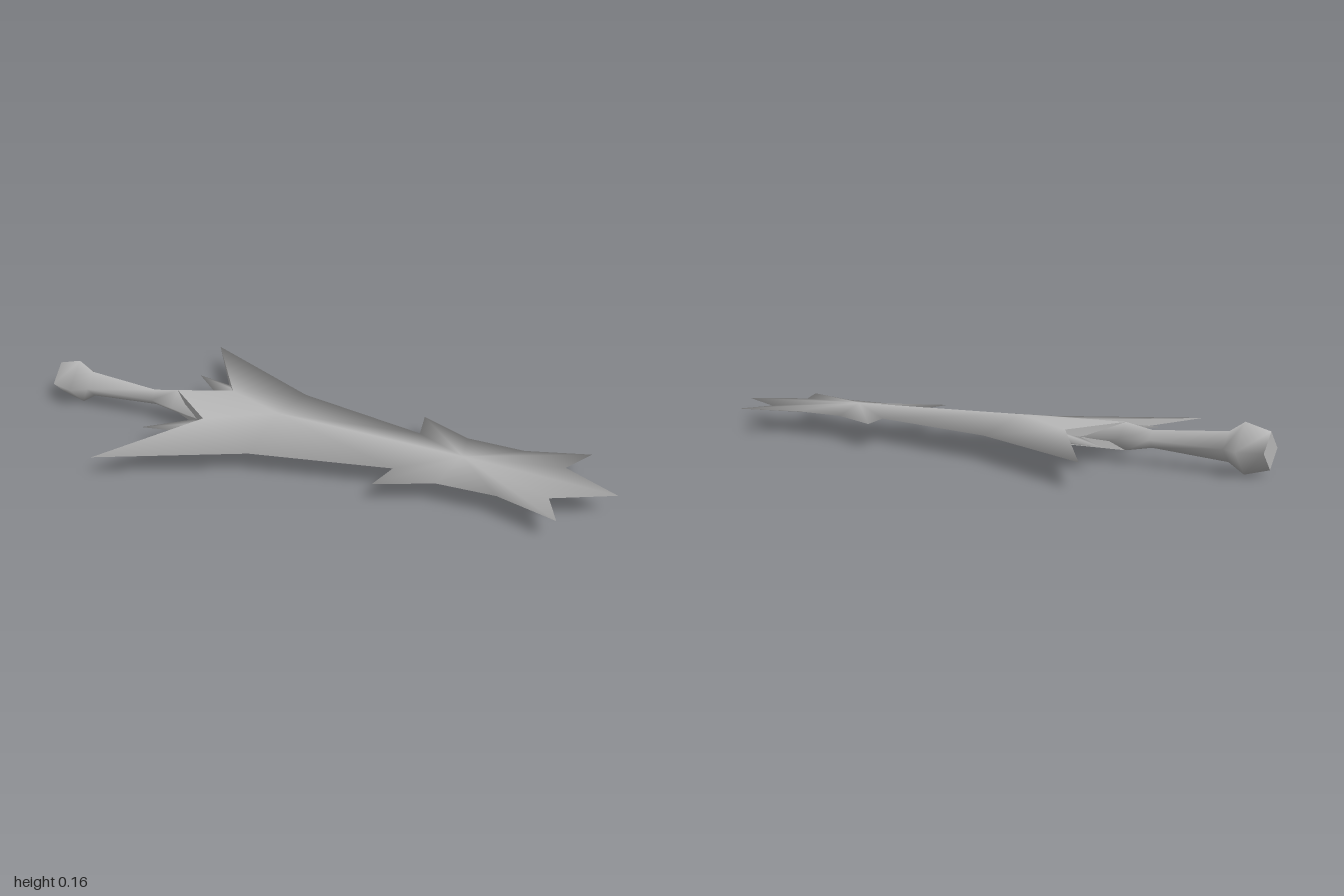
import * as THREE from 'three';
import { mergeVertices } from 'three/addons/utils/BufferGeometryUtils.js';

const steel = new THREE.MeshStandardMaterial({ color: 0xb8b8b8, side: THREE.DoubleSide });
steel.name = 'grey steel';
const MID = 0.082; // height of the central plane

function makeMesh(name, positions, smooth = true) {
  let geo = new THREE.BufferGeometry();
  geo.setAttribute('position', new THREE.Float32BufferAttribute(positions, 3));
  if (smooth) geo = mergeVertices(geo, 1e-5);
  geo.computeVertexNormals();
  const mesh = new THREE.Mesh(geo, steel);
  mesh.name = name;
  return mesh;
}

// Repeat the triangles of one quadrant above/below and left/right
function mirrored(points, faces, sides = [1, -1]) {
  const out = [];
  for (const sy of [1, -1]) for (const sz of sides) for (const face of faces) {
    const order = sy * sz > 0 ? face : [...face].reverse();
    for (const key of order) {
      const [x, y, z] = points[key];
      out.push(x, y * sy, z * sz);
    }
  }
  return out;
}

// Diamond cross-sections [x, half height, half width] joined along x
function diamondLoft(sections) {
  const ring = ([x, h, w]) => [[x, h, 0], [x, 0, w], [x, -h, 0], [x, 0, -w]];
  const out = [];
  for (let i = 0; i < sections.length - 1; i++) {
    const a = ring(sections[i]), b = ring(sections[i + 1]);
    for (let j = 0; j < 4; j++) {
      const k = (j + 1) % 4;
      out.push(...a[j], ...a[k], ...b[j], ...a[k], ...b[k], ...b[j]);
    }
  }
  return out;
}

export function createModel() {
  const model = new THREE.Group();
  model.name = 'spikedSword';
  const sword = new THREE.Group();
  sword.name = 'sword';
  sword.position.y = MID;
  model.add(sword);

  // Blade: ridge points, then outline points from the wing to the tip
  const p = {
    start: [-0.53, 0.045, 0], ridge: [-0.15, 0.037, 0], star: [0.5, 0.022, 0],
    notch: [-0.375, 0.023, 0.11], wing: [-0.6, 0, 0.45], shoulder: [-0.15, 0, 0.225],
    waist: [0.31, 0, 0.125], barb: [0.285, 0, 0.24], headA: [0.465, 0, 0.157],
    headB: [0.66, 0, 0.152], spike: [0.865, 0, 0.216], tuck: [0.81, 0, 0.1], tip: [1, 0, 0],
    under: [-0.375, -0.023, 0.11], startUnder: [-0.53, -0.045, 0],
  };
  const faces = [
    ['start', 'notch', 'ridge'], ['notch', 'wing', 'shoulder'], ['notch', 'shoulder', 'ridge'],
    ['ridge', 'shoulder', 'waist'], ['ridge', 'waist', 'star'],
  ];
  const head = ['waist', 'barb', 'headA', 'headB', 'spike', 'tuck', 'tip'];
  for (let i = 0; i < head.length - 1; i++) faces.push([head[i], head[i + 1], 'star']);
  sword.add(makeMesh('blade', mirrored(p, faces)));

  // Back faces of the wings and of the blade root
  const back = [];
  for (const s of [1, -1]) {
    const tris = [['notch', 'under', 'wing'], ['start', 'startUnder', 'under'], ['start', 'under', 'notch']];
    for (const t of tris) for (const key of s > 0 ? t : [...t].reverse()) {
      const [x, y, z] = p[key];
      back.push(x, y, z * s);
    }
  }
  sword.add(makeMesh('bladeBack', back, false));

  // Small thorns between the wings and the grip
  const thorn = {
    tip: [-0.555, 0, 0.21], outer: [-0.36, 0, 0.17],
    crest: [-0.37, 0.016, 0.13], inner: [-0.42, 0, 0.09],
  };
  const thornFaces = [['tip', 'outer', 'crest'], ['tip', 'crest', 'inner']];
  for (const [name, s] of [['leftThorn', 1], ['rightThorn', -1]]) {
    sword.add(makeMesh(name, mirrored(thorn, thornFaces, [s])));
  }

  // Grip with its flare into the blade, and the pommel
  sword.add(makeMesh('grip', diamondLoft([
    [-1, 0.058, 0.058], [-0.92, 0.08, 0.08], [-0.87, 0.047, 0.047],
    [-0.62, 0.028, 0.028], [-0.53, 0.045, 0.052], [-0.43, 0.036, 0.08], [-0.36, 0.02, 0.1],
  ])));
  const r = 0.058;
  sword.add(makeMesh('pommelEnd', [
    -1, r, 0, -1, 0, -r, -1, -r, 0, -1, r, 0, -1, -r, 0, -1, 0, r,
  ], false));

  return model;
}
